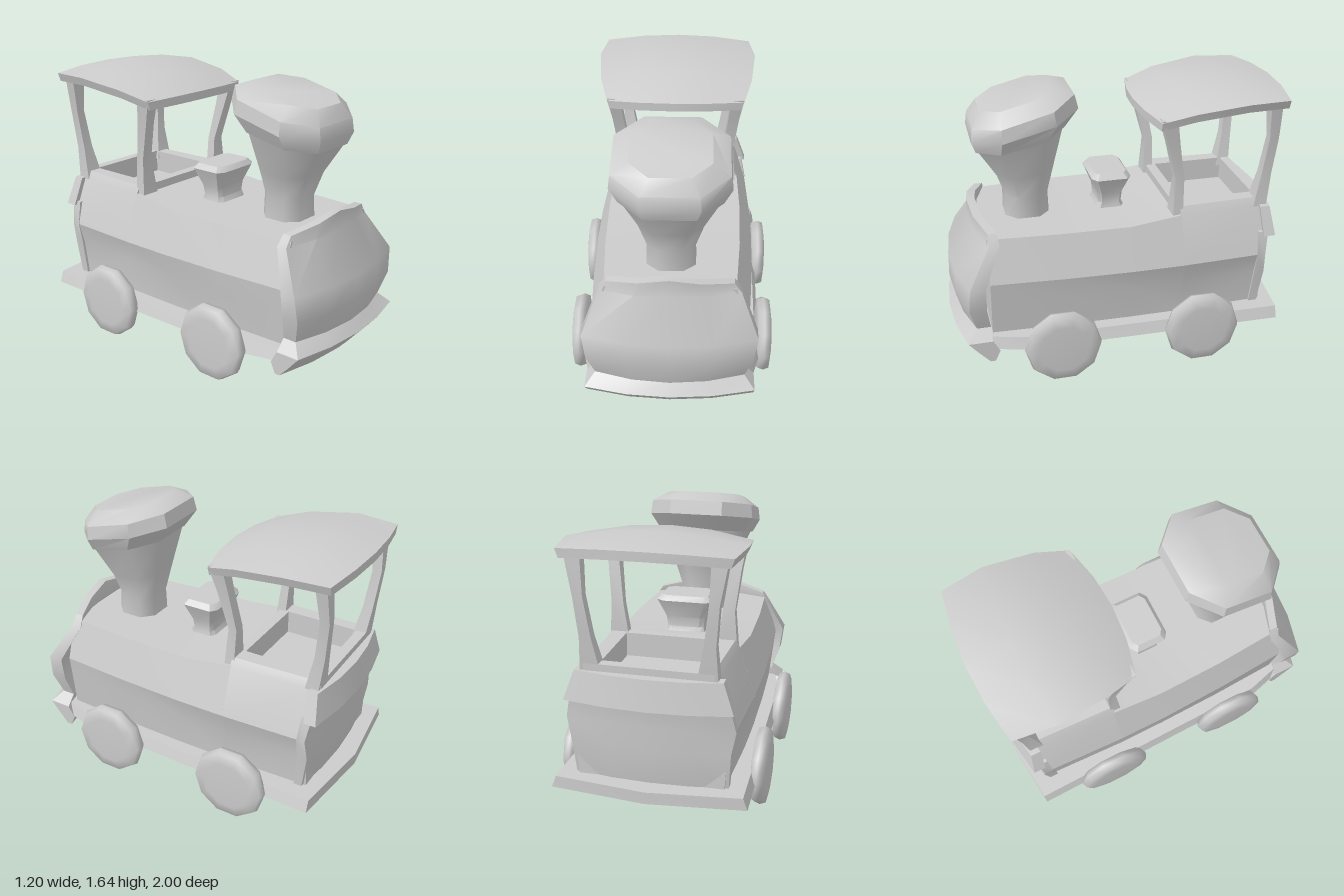
import * as THREE from 'three';
import { toCreasedNormals } from 'three/addons/utils/BufferGeometryUtils.js';

const material = new THREE.MeshStandardMaterial({ color: 0xcccccc });
const lerp = THREE.MathUtils.lerp;

// Solid skinned over equal-length rings of [x, y, z]; caps are laid as ladders across each end ring.
function loft(name, rings, crease = 0.6) {
  const n = rings[0].length, last = rings.length - 1, index = [];
  const quad = (a, b, c, d) => index.push(a, b, c, a, c, d);
  for (let r = 0; r < last; r++) {
    for (let i = 0; i < n; i++) {
      const j = (i + 1) % n;
      quad(r * n + i, r * n + j, r * n + n + j, r * n + n + i);
    }
  }
  for (let i = 0; i < n / 2 - 1; i++) {
    const e = last * n;
    quad(n - 1 - i, n - 2 - i, i + 1, i);
    quad(e + i, e + i + 1, e + n - 2 - i, e + n - 1 - i);
  }
  // Turn the faces outward if the signed volume is negative
  const pts = rings.flat().map((p) => new THREE.Vector3(...p));
  let volume = 0;
  for (let i = 0; i < index.length; i += 3) {
    volume += pts[index[i]].dot(pts[index[i + 1]].clone().cross(pts[index[i + 2]]));
  }
  if (volume < 0) index.reverse();
  const geo = new THREE.BufferGeometry().setFromPoints(pts);
  geo.setIndex(index);
  const mesh = new THREE.Mesh(toCreasedNormals(geo, crease), material);
  mesh.name = name;
  return mesh;
}

const SPREAD = [-1, -0.5, 0, 0.5, 1];

// Upright curved plate; rows are [y, halfWidth, zEdge, zCentre, thickness, yEdge]
function curvedPlate(name, rows) {
  return loft(name, rows.map(([y, w, zE, zC, t, yE = y]) => {
    const front = SPREAD.map((s) => [s * w, lerp(y, yE, Math.abs(s)), lerp(zC, zE, s * s)]);
    const back = front.map(([x, py, z]) => [x, py, z - t]).reverse();
    return [...front, ...back];
  }));
}

// Chamfered rectangle ring, tilted so that its front edge drops
function octagon([y, z, hx, hz, tilt = 0], c) {
  const plan = [[c, 1], [1, c], [1, -c], [c, -1], [-c, -1], [-1, -c], [-1, c], [-c, 1]];
  return plan.map(([px, pz]) => [px * hx, y - tilt * pz * hz, z + pz * hz]);
}

// Mirror a half outline of [x, y] into a symmetric ring at depth z
function mirrored(half, z) {
  return [...half.map(([x, y]) => [-x, y, z]), ...half.map(([x, y]) => [x, y, z]).reverse()];
}

export function createModel() {
  const group = new THREE.Group();
  group.name = 'locomotive';

  // Footplate under the body
  group.add(loft('footplate', [[0.21, 0], [0.28, -0.025]].map(([y, d]) => [
    [-0.55 - d, y, -0.94], [0, y, -1], [0.55 + d, y, -0.94],
    [0.52 + d, y, 0.6], [0.46 + d, y, 0.82], [0, y, 0.86], [-0.46 - d, y, 0.82], [-0.52 - d, y, 0.6],
  ])));

  // Boiler: rows are [z, topY, topHalfWidth, ridgeHalfWidth, lowerHalfWidth, footHalfWidth]
  const boilerRows = [
    [0.78, 0.87, 0.36, 0.44, 0.425, 0.4],
    [0.35, 0.87, 0.39, 0.47, 0.45, 0.42],
    [-0.05, 0.87, 0.4, 0.485, 0.45, 0.43],
    [-0.36, 0.905, 0.39, 0.485, 0.445, 0.43],
  ];
  group.add(loft('boiler', boilerRows.map(([z, y, a, b, c, d]) =>
    mirrored([[d, 0.27], [c, 0.49], [b, 0.62], [a, y]], z)), 0.25));

  // Open cab tub behind the boiler, with a raised rim
  group.add(loft('cabTub', [[-0.355, 0.485], [-0.87, 0.465]].map(([z, w]) => mirrored([
    [0, 0.27], [w - 0.055, 0.27], [w - 0.04, 0.49], [w, 0.62], [w - 0.095, 0.905],
    [w - 0.12, 0.95], [0.27, 0.95], [0.27, 0.81], [0, 0.81],
  ].reverse(), z)), 0.25));
  for (const [name, z] of [['cabFrontRim', -0.36], ['cabRearRim', -0.865]]) {
    const rim = new THREE.Mesh(new THREE.BoxGeometry(0.71, 0.15, 0.06), material);
    rim.position.set(0, 0.875, z);
    rim.name = name;
    group.add(rim);
  }

  // Nose plate and track guard
  group.add(curvedPlate('nosePlate', [
    [0.33, 0.42, 0.87, 0.95, 0.08], [0.47, 0.465, 0.91, 0.985, 0.1], [0.62, 0.485, 0.9, 0.98, 0.09],
    [0.86, 0.39, 0.77, 0.85, 0.06, 0.84], [0.97, 0.35, 0.77, 0.85, 0.05, 0.9],
  ]));
  group.add(curvedPlate('trackGuard', [
    [0.135, 0.48, 0.81, 0.88, 0.03], [0.2, 0.48, 0.87, 0.94, 0.12],
    [0.27, 0.48, 0.93, 1.0, 0.14], [0.335, 0.42, 0.87, 0.95, 0.08],
  ]));

  // Rear wall and the band above it
  group.add(curvedPlate('rearWall', [
    [0.27, 0.43, -0.85, -0.89, -0.05], [0.49, 0.445, -0.88, -0.925, -0.06],
    [0.62, 0.47, -0.87, -0.915, -0.05], [0.76, 0.44, -0.89, -0.935, -0.06],
  ]));
  group.add(curvedPlate('rearBand', [
    [0.74, 0.465, -0.925, -0.98, -0.07], [0.91, 0.405, -0.9, -0.95, -0.06],
  ]));

  // Chimney stem and its tilted head: rows are [y, z, halfX, halfZ, tilt]
  group.add(loft('chimneyStem', [
    [0.85, 0.5, 0.14, 0.13], [1.0, 0.5, 0.135, 0.125], [1.15, 0.505, 0.18, 0.165, 0.08],
    [1.37, 0.53, 0.27, 0.245, 0.22],
  ].map((row) => octagon(row, 0.5)), 0.9));
  group.add(loft('chimneyHead', [
    [1.365, 0.53, 0.28, 0.255, 0.22], [1.455, 0.505, 0.325, 0.305, 0.25],
    [1.535, 0.51, 0.315, 0.29, 0.27], [1.595, 0.535, 0.22, 0.215, 0.25],
  ].map((row) => octagon(row, 0.5))));

  // Small steam dome
  group.add(loft('steamDome', [
    [0.86, 0, 0.12, 0.09], [0.9, 0, 0.11, 0.07], [0.96, 0, 0.12, 0.075],
    [1.07, 0, 0.168, 0.118], [1.1, 0, 0.14, 0.095],
  ].map((row) => octagon(row, 0.75))));

  // Cab posts: rows are [y, xInner, xOuter, zRear, zFront]
  const posts = {
    Front: [[0.9, 0.26, 0.375, -0.37, -0.31], [1.12, 0.29, 0.36, -0.375, -0.325],
      [1.35, 0.32, 0.385, -0.335, -0.265], [1.5, 0.33, 0.41, -0.31, -0.22]],
    Rear: [[0.9, 0.26, 0.375, -0.89, -0.81], [1.1, 0.3, 0.365, -0.91, -0.85],
      [1.33, 0.33, 0.385, -0.93, -0.875], [1.57, 0.34, 0.43, -0.92, -0.85]],
  };
  for (const [end, rows] of Object.entries(posts)) {
    for (const side of [1, -1]) {
      group.add(loft((side > 0 ? 'left' : 'right') + end + 'Post', rows.map(([y, a, b, r, f]) =>
        [[side * a, y, r], [side * b, y, r], [side * b, y, f], [side * a, y, f]])));
    }
  }

  // Domed roof: rows are [zCentre, zEdge, halfWidth, yCentre, yEdge]
  group.add(loft('cabRoof', [
    [-0.16, -0.22, 0.41, 1.505, 1.49], [-0.4, -0.41, 0.46, 1.6, 1.545],
    [-0.72, -0.7, 0.49, 1.64, 1.585], [-1.0, -0.95, 0.46, 1.6, 1.58],
  ].map(([zC, zE, w, yC, yE]) => {
    const top = SPREAD.map((s) => [s * w, lerp(yC, yE, s * s), lerp(zC, zE, s * s)]);
    return [...top, ...top.map(([x, y, z]) => [x * 0.96, y - 0.05, z]).reverse()];
  })));

  // Wheels with softly bulging faces
  const profile = [[0, -0.045], [0.15, -0.045], [0.215, -0.035], [0.228, 0], [0.215, 0.035], [0.15, 0.045], [0, 0.045]];
  const wheelGeo = new THREE.LatheGeometry(profile.map(([r, h]) => new THREE.Vector2(r, h)), 10);
  wheelGeo.rotateZ(-Math.PI / 2);
  for (const [end, z] of [['Front', 0.39], ['Rear', -0.455]]) {
    for (const side of [1, -1]) {
      const wheel = new THREE.Mesh(wheelGeo, material);
      wheel.position.set(side * 0.553, 0.228, z);
      wheel.name = (side > 0 ? 'left' : 'right') + end + 'Wheel';
      group.add(wheel);
    }
  }
  return group;
}
